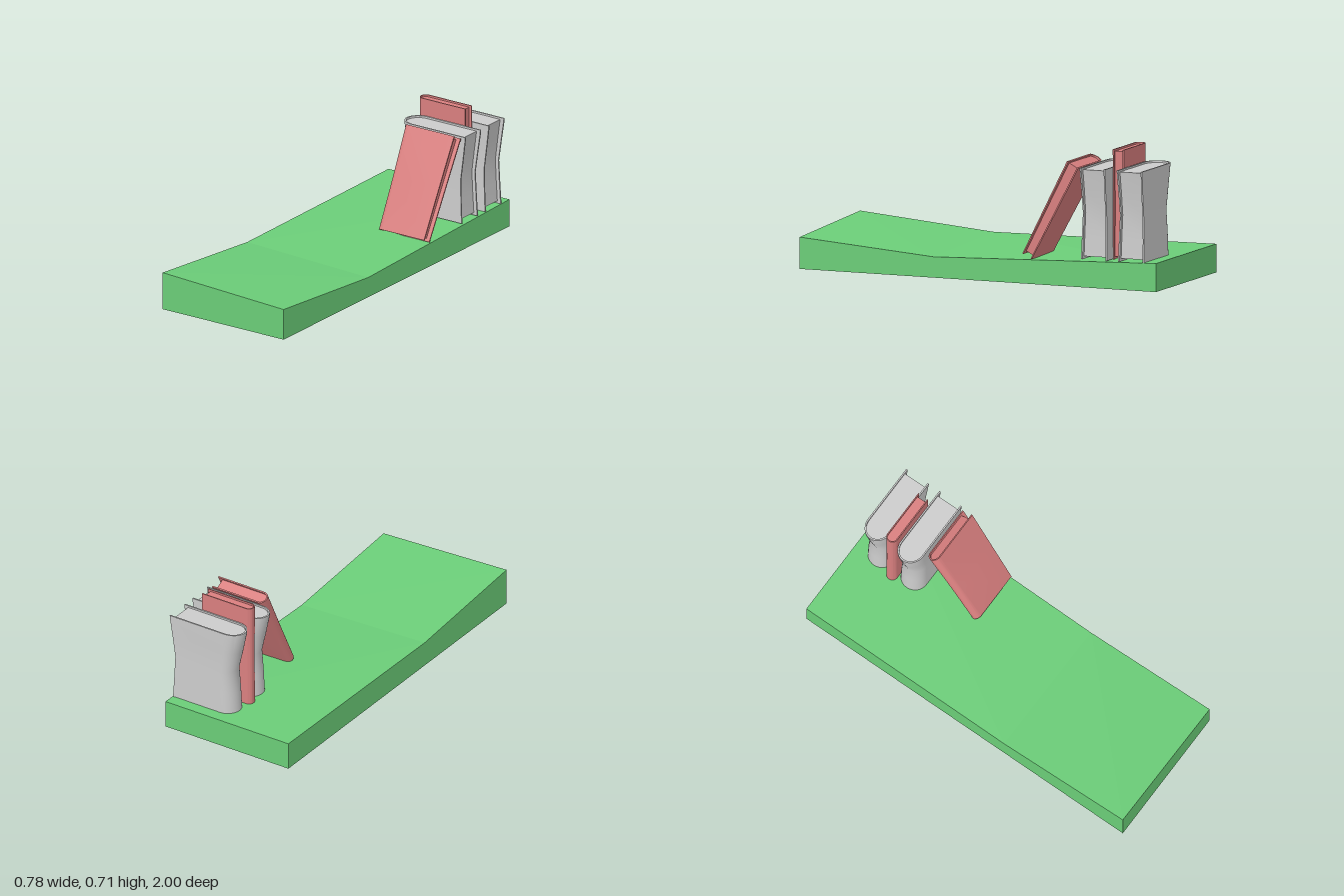
import * as THREE from 'three';
import { toCreasedNormals } from 'three/addons/utils/BufferGeometryUtils.js';

const grey = new THREE.MeshStandardMaterial({ color: 0xcccccc });
const red = new THREE.MeshStandardMaterial({ color: 0xd97f7f });
const green = new THREE.MeshStandardMaterial({ color: 0x6bcd78, flatShading: true });

// U-shaped cover section, rounded at the spine (x = 0) and open at x = length
function coverShape(length, half, t) {
  const s = new THREE.Shape();
  s.moveTo(length, -half);
  s.lineTo(half, -half);
  s.absarc(half, 0, half, -Math.PI / 2, -Math.PI * 1.5, true);
  s.lineTo(length, half);
  s.lineTo(length, half - t);
  s.lineTo(half, half - t);
  s.absarc(half, 0, half - t, Math.PI / 2, Math.PI * 1.5, false);
  s.lineTo(length, -half + t);
  return s;
}

// Solid page block that fills the cover
function pageShape(length, half, t, inset) {
  const r = half - t * 0.9;
  const s = new THREE.Shape();
  s.moveTo(length - inset, -r);
  s.lineTo(half, -r);
  s.absarc(half, 0, r, -Math.PI / 2, -Math.PI * 1.5, true);
  s.lineTo(length - inset, r);
  return s;
}

// Loft a section through levels: { y, x0: spine, x1: fore edge, k: thickness scale }
function loft(shape, length, levels) {
  const n = levels.length - 1;
  const g = new THREE.ExtrudeGeometry(shape, { depth: n, steps: n, bevelEnabled: false, curveSegments: 10 });
  const p = g.attributes.position;
  for (let i = 0; i < p.count; i++) {
    const l = levels[Math.round(p.getZ(i))];
    const u = p.getX(i) / length;
    p.setXYZ(i, l.x0 + u * (l.x1 - l.x0), l.y, -p.getY(i) * l.k);
  }
  return toCreasedNormals(g, 0.6);
}

function book(name, material, half, t, inset, rows) {
  const levels = rows.map(([y, x0, x1, k]) => ({ y, x0, x1, k }));
  const length = levels[0].x1 - levels[0].x0;
  const inner = levels.map((l) => ({ ...l }));
  inner[0].y += 0.014;
  inner[inner.length - 1].y -= 0.01;
  const group = new THREE.Group();
  group.name = name;
  const cover = new THREE.Mesh(loft(coverShape(length, half, t), length, levels), material);
  cover.name = 'cover';
  const pages = new THREE.Mesh(loft(pageShape(length, half, t, inset), length, inner), material);
  pages.name = 'pages';
  group.add(cover, pages);
  return group;
}

export function createModel() {
  const model = new THREE.Group();
  model.name = 'shelfWithBooks';

  // Shelf board: dips at z = 0.25 and rises to the front, lower on the +x side
  const g = new THREE.BoxGeometry(0.76, 1, 2, 1, 1, 2);
  const p = g.attributes.position;
  for (let i = 0; i < p.count; i++) {
    const z = p.getZ(i);
    const isLeft = p.getX(i) > 0;
    let top = 0.148;
    if (z > 0.5) top = isLeft ? 0.165 : 0.2;
    else if (z > -0.5) top = isLeft ? 0.108 : 0.135;
    p.setXYZ(i, isLeft ? 0.37 : -0.39, p.getY(i) > 0 ? top : 0, Math.abs(z) < 0.5 ? 0.25 : z);
  }
  const shelf = new THREE.Mesh(g, green);
  shelf.name = 'shelf';
  model.add(shelf);

  // Two thick grey books, pinched in the middle and flared at the top
  const thick = [
    [0.145, 0.006, 0.368, 1.03],
    [0.26, 0.012, 0.362, 1.0],
    [0.385, 0.021, 0.358, 0.94],
    [0.5, -0.006, 0.374, 0.96],
    [0.6, -0.027, 0.388, 1],
    [0.62, -0.028, 0.39, 1],
  ];
  [-0.86, -0.652].forEach((z, i) => {
    const b = book(i ? 'frontGreyBook' : 'backGreyBook', grey, 0.071, 0.008, 0.02, thick);
    b.position.z = z;
    model.add(b);
  });

  // Tall thin book between them
  const tall = book('tallBook', red, 0.031, 0.006, 0.015, [
    [0.142, -0.01, 0.288, 1],
    [0.43, -0.009, 0.287, 0.97],
    [0.712, -0.01, 0.29, 1],
  ]);
  tall.position.z = -0.753;
  model.add(tall);

  // Leaning book
  const leaning = book('leaningBook', red, 0.033, 0.007, 0.022, [
    [0, 0.07, 0.366, 0.88],
    [0.28, 0.066, 0.37, 1],
    [0.555, 0.057, 0.375, 1.08],
  ]);
  leaning.position.set(0, 0.142, -0.275);
  leaning.rotation.x = -0.487;
  model.add(leaning);

  return model;
}
